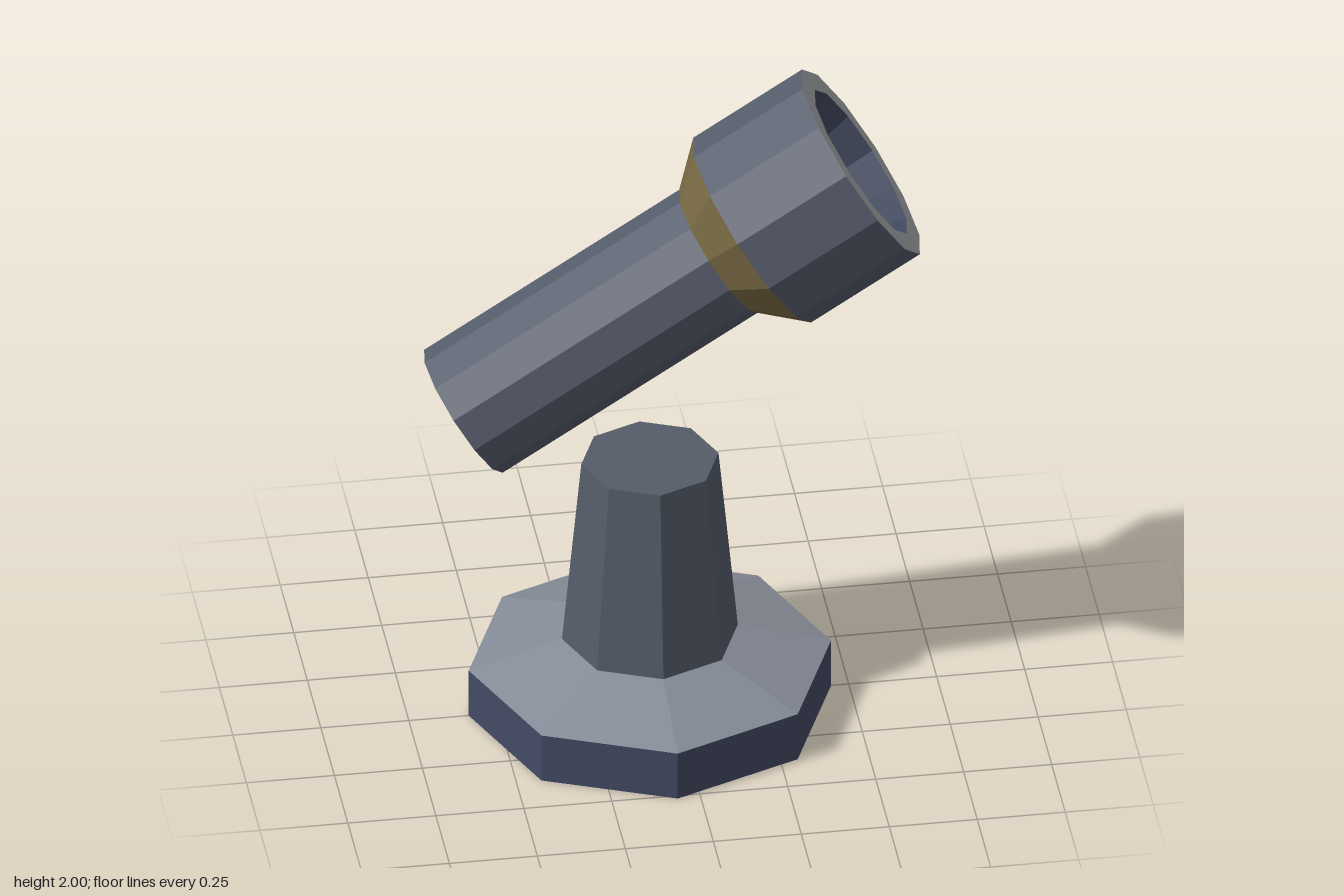
import * as THREE from 'three';

// Faceted surface of revolution; profile is [radius, height] pairs, outside faces when rising
function lathe(name, profile, sides, color) {
  const points = profile.map(([r, y]) => new THREE.Vector2(r, y));
  const material = new THREE.MeshStandardMaterial({ color, flatShading: true });
  const mesh = new THREE.Mesh(new THREE.LatheGeometry(points, sides), material);
  mesh.name = name;
  return mesh;
}

export function createModel() {
  const model = new THREE.Group();
  model.name = 'spotlight';

  // Octagonal foot and tapered post
  const stand = new THREE.Group();
  stand.name = 'stand';
  stand.position.x = -0.065;
  stand.add(
    lathe('foot', [[0, 0], [0.515, 0], [0.515, 0.15]], 8, 0x434a63),
    lathe('footSlope', [[0.515, 0.15], [0.25, 0.23]], 8, 0x858b96),
    lathe('post', [[0.25, 0.23], [0.195, 0.808], [0, 0.808]], 8, 0x555c69),
  );

  // Tilted lamp, modelled along y from its rear end
  const lamp = new THREE.Group();
  lamp.name = 'lamp';
  lamp.position.set(-0.595, 1.018, 0);
  lamp.rotation.z = -THREE.MathUtils.degToRad(57.4);
  lamp.add(
    lathe('barrel', [[0, 0], [0.205, 0], [0.205, 0.86]], 12, 0x555c6b),
    lathe('collar', [[0.205, 0.86], [0.308, 0.974]], 12, 0x7a6a44),
    lathe('head', [[0.308, 0.974], [0.308, 1.341]], 12, 0x555c6b),
    lathe('rim', [[0.308, 1.341], [0.24, 1.341]], 12, 0xa0a2a4),
    lathe('reflector', [[0.24, 1.341], [0.18, 1.19]], 12, 0x434a60),
    lathe('lens', [[0.18, 1.19], [0, 1.19]], 12, 0x434b6b),
  );

  model.add(stand, lamp);
  return model;
}
